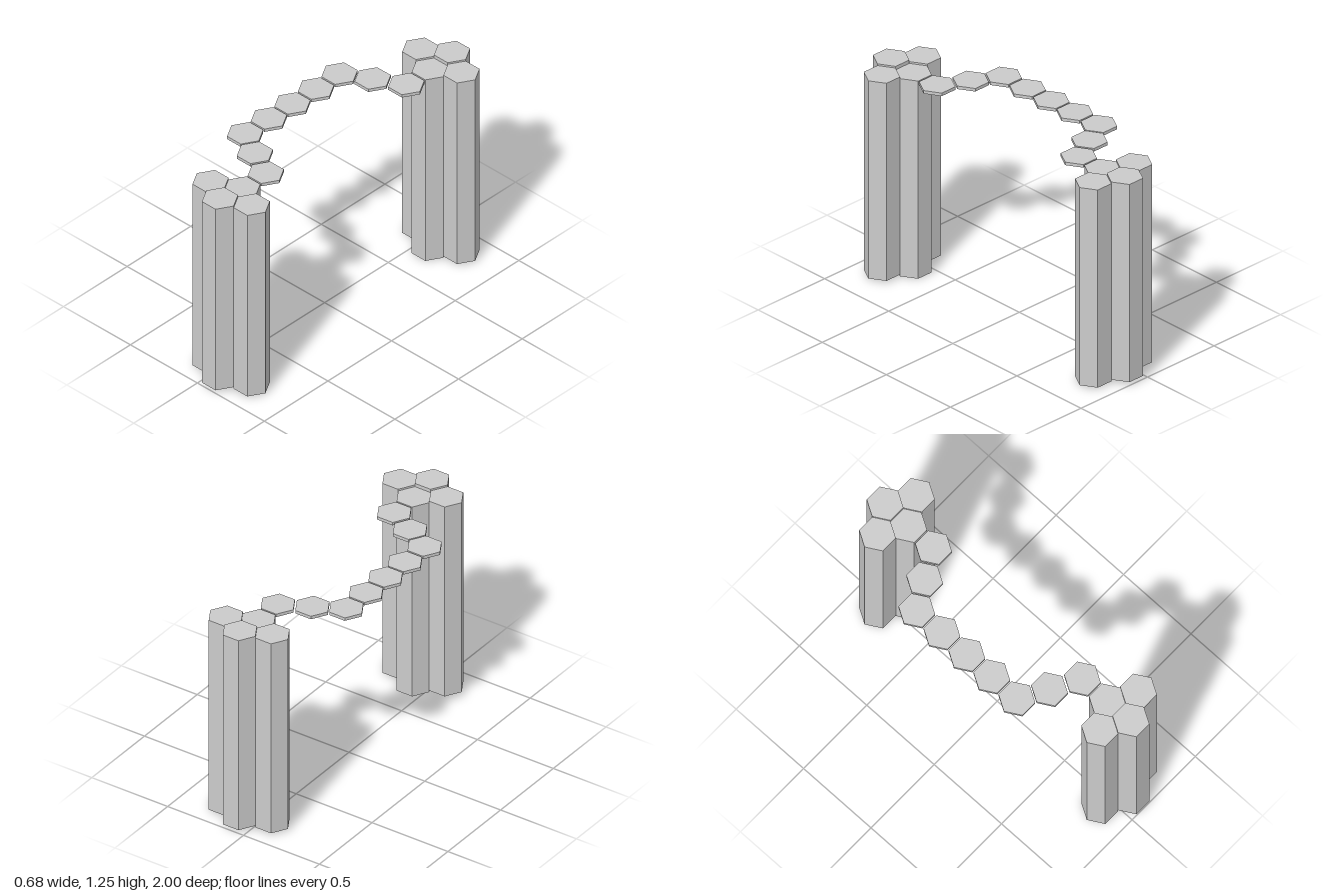
import * as THREE from 'three';

const RADIUS = 0.102;
const material = new THREE.MeshStandardMaterial({ color: 0xcccccc, flatShading: true });

// Hexagonal prism between two heights, with corners pointing along x
function hexPrism(name, x, z, bottom, top, radius = RADIUS) {
  const geometry = new THREE.CylinderGeometry(radius, radius, top - bottom, 6, 1, false, Math.PI / 6);
  const mesh = new THREE.Mesh(geometry, material);
  mesh.name = name;
  mesh.position.set(x, (bottom + top) / 2, z);
  return mesh;
}

// Thin stepping tile with a smaller plate underneath
function steppingTile(x, z) {
  const tile = new THREE.Group();
  tile.name = 'steppingTile';
  tile.add(
    hexPrism('tileSlab', x, z, 1.206, 1.225),
    hexPrism('tileUnderplate', x, z, 1.2, 1.206, 0.08)
  );
  return tile;
}

export function createModel() {
  const model = new THREE.Group();
  model.name = 'hexagonBridge';

  // Four stepped columns per end: x, z, bottom height
  const columns = [
    [0.085, 0.737, 0],
    [-0.069, 0.824, 0.011],
    [0.239, 0.824, 0.011],
    [0.085, 0.912, 0.021],
  ];
  // Half of the curved walkway: x, z
  const tiles = [
    [-0.241, 0.185],
    [-0.241, 0.371],
    [-0.081, 0.463],
    [0.085, 0.552],
  ];

  // Both ends mirror each other across z = 0
  for (const side of [1, -1]) {
    const tower = new THREE.Group();
    tower.name = side > 0 ? 'frontTower' : 'backTower';
    for (const [x, z, bottom] of columns) {
      tower.add(hexPrism('column', x, side * z, bottom, bottom + 1.225));
    }
    model.add(tower);
  }

  const walkway = new THREE.Group();
  walkway.name = 'walkway';
  walkway.add(steppingTile(-0.241, 0));
  for (const side of [1, -1]) {
    for (const [x, z] of tiles) walkway.add(steppingTile(x, side * z));
  }
  model.add(walkway);

  return model;
}
